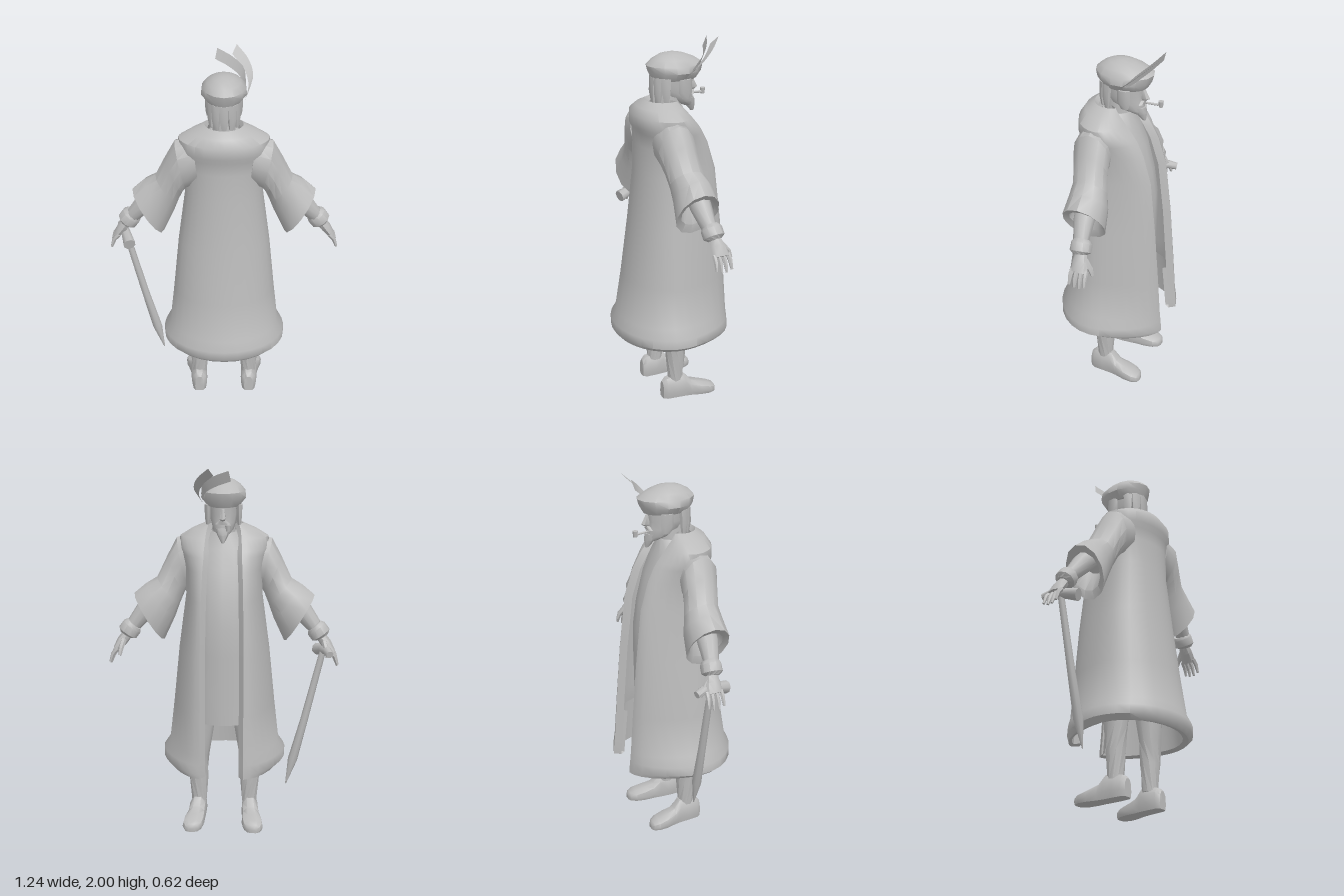
import * as THREE from 'three';
import { toCreasedNormals } from 'three/addons/utils/BufferGeometryUtils.js';

const grey = new THREE.MeshStandardMaterial({ color: 0xbbbbbb, side: THREE.DoubleSide });
grey.name = 'plain grey';
const V = (x, y, z) => new THREE.Vector3(x, y, z);

// Skin between cross-sections; closed rings loop round, caps fan to the ring centre
function loft(rings, { closed = true, caps = true, crease = 0.8 } = {}) {
  const n = rings[0].length, pos = [], idx = [];
  rings.forEach(r => r.forEach(p => pos.push(p.x, p.y, p.z)));
  const m = closed ? n : n - 1;
  for (let i = 0; i < rings.length - 1; i++) for (let j = 0; j < m; j++) {
    const a = i * n + j, b = i * n + (j + 1) % n;
    idx.push(a, b, a + n, b, b + n, a + n);
  }
  if (closed && caps) [0, rings.length - 1].forEach(k => {
    const c = rings[k].reduce((s, p) => s.add(p), V(0, 0, 0)).divideScalar(n);
    const ci = pos.length / 3;
    pos.push(c.x, c.y, c.z);
    for (let j = 0; j < n; j++) {
      const a = k * n + j, b = k * n + (j + 1) % n;
      k ? idx.push(a, b, ci) : idx.push(b, a, ci);
    }
  });
  const g = new THREE.BufferGeometry();
  g.setAttribute('position', new THREE.Float32BufferAttribute(pos, 3));
  g.setIndex(idx);
  return toCreasedNormals(g, crease);
}

const ring = (c, u, v, n) => Array.from({ length: n }, (_, i) => {
  const a = i / n * Math.PI * 2;
  return c.clone().addScaledVector(u, Math.cos(a)).addScaledVector(v, Math.sin(a));
});

// Horizontal oval rows: [y, half width, front z, back z]
const stack = (rows, n = 14, x = 0) => loft(rows.map(([y, w, f, b]) =>
  ring(V(x, y, (f + b) / 2), V(0, 0, (b - f) / 2), V(w, 0, 0), n)));

// Round limb through [x, y, z, radius] points
function limb(pts, n = 8) {
  const p = pts.map(a => V(a[0], a[1], a[2]));
  return loft(p.map((c, i) => {
    const d = p[Math.min(i + 1, p.length - 1)].clone().sub(p[Math.max(i - 1, 0)]).normalize();
    const q = new THREE.Quaternion().setFromUnitVectors(V(0, 1, 0), d), r = pts[i][3];
    return ring(c, V(0, 0, r).applyQuaternion(q), V(r, 0, 0).applyQuaternion(q), n);
  }));
}

// Open coat section, from one front edge round the back to the other
function coatRing([y, w, f, b, e]) {
  const half = [V(e, y, f + 0.035)], zs = 0.03, k = 7;
  for (let i = 0; i <= k; i++) {
    const a = i / k * Math.PI / 2;
    half.push(V(e + 0.025 + (w - e - 0.025) * Math.sin(a) ** 1.2, y, zs + (f - zs) * Math.cos(a) ** 1.2));
  }
  for (let i = 1; i <= k; i++) {
    const a = i / k * Math.PI / 2;
    half.push(V(w * Math.cos(a), y, zs + (b - zs) * Math.sin(a)));
  }
  const other = half.slice(0, -1).reverse().map(p => V(-p.x, p.y, p.z));
  return [...half, ...other].reverse();
}

export function createModel() {
  const model = new THREE.Group();
  model.name = 'robedFigure';
  const add = (name, geo, parent = model) => {
    const m = new THREE.Mesh(geo, grey);
    m.name = name;
    parent.add(m);
    return m;
  };

  // Long open coat with lining, padded hem and rounded collar
  add('coat', loft([
    [0.62, 0.26, -0.265, 0.23, 0.095], [0.365, 0.275, -0.29, 0.26, 0.095],
    [0.355, 0.305, -0.31, 0.29, 0.09], [0.38, 0.335, -0.31, 0.31, 0.09],
    [0.43, 0.335, -0.305, 0.31, 0.09], [0.48, 0.3, -0.3, 0.285, 0.09],
    [0.7, 0.275, -0.285, 0.25, 0.09], [1.0, 0.245, -0.262, 0.21, 0.09],
    [1.3, 0.205, -0.23, 0.18, 0.085], [1.45, 0.212, -0.185, 0.175, 0.08],
    [1.52, 0.23, -0.15, 0.175, 0.075], [1.55, 0.24, -0.13, 0.19, 0.075],
    [1.61, 0.235, -0.08, 0.19, 0.07], [1.65, 0.17, -0.045, 0.165, 0.065],
    [1.68, 0.1, -0.02, 0.12, 0.055], [1.655, 0.085, -0.02, 0.1, 0.05],
  ].map(coatRing), { closed: false }));

  // Tunic under the coat
  add('tunic', stack([
    [0.62, 0.2, -0.21, 0.16], [0.8, 0.195, -0.21, 0.16], [1.0, 0.185, -0.215, 0.15],
    [1.15, 0.18, -0.215, 0.14], [1.3, 0.17, -0.195, 0.14], [1.45, 0.17, -0.155, 0.13],
    [1.56, 0.15, -0.11, 0.13], [1.64, 0.07, -0.08, 0.08],
  ], 16));

  // Head
  add('neck', stack([[1.6, 0.065, -0.08, 0.07], [1.74, 0.058, -0.07, 0.06]], 10));
  add('head', stack([
    [1.635, 0.025, -0.145, -0.09], [1.66, 0.052, -0.148, -0.02], [1.7, 0.066, -0.143, 0.05],
    [1.74, 0.074, -0.14, 0.075], [1.8, 0.078, -0.145, 0.08]], 12));
  add('nose', stack([[1.715, 0.012, -0.16, -0.12], [1.725, 0.018, -0.175, -0.12],
    [1.775, 0.009, -0.15, -0.12]], 6));
  add('beard', stack([[1.6, 0.008, -0.155, -0.135], [1.64, 0.03, -0.16, -0.1],
    [1.675, 0.04, -0.153, -0.09]], 8));
  add('moustache', stack([[1.695, 0.04, -0.15, -0.11], [1.715, 0.02, -0.155, -0.11]], 8));

  // Hair locks round the back of the head
  for (const a of [-1.1, -0.55, 0, 0.55, 1.1]) {
    const lock = add('hairLock', stack([[1.665, 0.014, -0.008, 0.008],
      [1.72, 0.024, -0.014, 0.018], [1.8, 0.028, -0.02, 0.016]], 6));
    lock.position.set(Math.sin(a) * 0.075, 0, Math.cos(a) * 0.085 - 0.005);
    lock.rotation.y = a;
  }

  // Cap
  add('cap', stack([
    [1.783, 0.085, -0.16, 0.085], [1.825, 0.119, -0.185, 0.105], [1.86, 0.114, -0.195, 0.115],
    [1.89, 0.088, -0.15, 0.085], [1.912, 0.055, -0.095, 0.045], [1.922, 0.02, -0.05, 0]], 14));

  // Two curved feathers on the cap
  const feather = (name, path, w) => add(name, loft(
    new THREE.CatmullRomCurve3(path).getPoints(8).map((p, i) => {
      const v = w.clone().multiplyScalar(i < 2 ? 0.6 + i * 0.2 : 1);
      return [p.clone().sub(v), p.clone().add(v)];
    }), { closed: false }));
  feather('longFeather', [V(0.115, 1.8, -0.04), V(0.138, 1.86, -0.11),
    V(0.115, 1.92, -0.18), V(0.055, 1.975, -0.245)], V(0.012, 0.02, -0.018));
  feather('shortFeather', [V(0.11, 1.83, -0.09), V(0.095, 1.885, -0.15),
    V(0.035, 1.925, -0.2), V(-0.04, 1.955, -0.235)], V(0.006, 0.027, -0.008));

  // Pipe
  add('pipeStem', limb([[-0.015, 1.69, -0.13, 0.006], [-0.03, 1.685, -0.22, 0.007]], 6));
  add('pipeBowl', new THREE.CylinderGeometry(0.015, 0.011, 0.032, 8)).position.set(-0.032, 1.69, -0.222);

  // Mirrored parts
  for (const s of [1, -1]) {
    const side = new THREE.Group();
    side.name = s > 0 ? 'leftSide' : 'rightSide';
    side.scale.x = s;
    model.add(side);

    add('sideHair', stack([[1.685, 0.008, -0.09, -0.05], [1.72, 0.016, -0.1, -0.03],
      [1.79, 0.018, -0.1, -0.03]], 6, 0.082), side);

    // Sleeve: [top x, top y, bottom x, bottom y, half depth, centre z], turned in at the cuff
    add('sleeve', loft([
      [0.16, 1.62, 0.13, 1.36, 0.1, 0.05], [0.255, 1.595, 0.195, 1.33, 0.1, 0.05],
      [0.305, 1.5, 0.215, 1.3, 0.095, 0.04], [0.36, 1.385, 0.24, 1.24, 0.095, 0.025],
      [0.42, 1.35, 0.265, 1.17, 0.105, 0.015], [0.485, 1.295, 0.325, 1.04, 0.115, 0.015],
      [0.455, 1.265, 0.335, 1.09, 0.09, 0.01], [0.38, 1.31, 0.29, 1.21, 0.06, 0.01],
    ].map(([tx, ty, bx, by, h, z]) => ring(V((tx + bx) / 2, (ty + by) / 2, z),
      V(0, 0, h), V((tx - bx) / 2, (ty - by) / 2, 0), 12)), { crease: 0.6 }), side);

    add('forearm', limb([[0.33, 1.31, 0.01, 0.06], [0.42, 1.21, 0.005, 0.055],
      [0.51, 1.1, -0.01, 0.036]], 10), side);
    add('wristCuff', limb([[0.485, 1.13, -0.015, 0.045], [0.497, 1.117, -0.016, 0.056],
      [0.522, 1.083, -0.018, 0.056], [0.53, 1.07, -0.02, 0.036]], 10), side);

    // Hand: flat palm, four fingers and a thumb
    add('palm', loft([[0.52, 1.08, 0.03, 0.022], [0.55, 1.04, 0.042, 0.024], [0.582, 0.995, 0.046, 0.016]]
      .map(([x, y, h, t], i) => ring(V(x, y, -0.022 - i * 0.006), V(0, 0, h), V(t, t * 0.7, 0), 8))), side);
    for (let i = 0; i < 4; i++) {
      const z = 0.005 - i * 0.025, t = 0.008 - i * 0.028, d = i % 3 ? 0 : 0.012;
      add('finger', limb([[0.572, 1.005, z, 0.013], [0.597, 0.965 + d, (z + t) / 2, 0.012],
        [0.612, 0.92 + d, t, 0.007]], 6), side);
    }
    add('thumb', limb([[0.54, 1.05, -0.05, 0.016], [0.552, 1.01, -0.085, 0.014],
      [0.556, 0.975, -0.098, 0.008]], 6), side);

    add('leg', limb([[0.1, 0.9, 0.01, 0.09], [0.13, 0.6, 0.01, 0.082], [0.145, 0.38, 0.017, 0.062],
      [0.142, 0.25, 0.016, 0.054], [0.14, 0.1, 0.016, 0.042]], 10), side);

    // Shoe rows: [z, half width, height, centre x]
    add('shoe', loft([
      [0.096, 0.026, 0.095, 0.142], [0.075, 0.042, 0.115, 0.142], [0.02, 0.046, 0.125, 0.144],
      [-0.03, 0.047, 0.13, 0.147], [-0.065, 0.048, 0.088, 0.152], [-0.12, 0.057, 0.07, 0.16],
      [-0.17, 0.055, 0.055, 0.167], [-0.2, 0.038, 0.042, 0.17], [-0.21, 0.018, 0.03, 0.17],
    ].map(([z, w, h, x]) => [[-0.85, 0], [0.85, 0], [1, 0.3], [0.9, 0.75], [0.4, 1], [-0.4, 1], [-0.9, 0.75], [-1, 0.3]]
      .map(([a, b]) => V(x + a * w, b * h, z)))), side);
  }

  // Walking stick with cross handle and pointed tip
  add('stickShaft', limb([[-0.535, 1.0, -0.03, 0.017], [-0.44, 0.6, -0.03, 0.021],
    [-0.381, 0.37, -0.03, 0.026], [-0.345, 0.225, -0.03, 0.003]], 8));
  add('stickHandle', limb([[-0.568, 1.0, -0.125, 0.02], [-0.555, 1.01, -0.08, 0.024],
    [-0.535, 1.005, -0.02, 0.026], [-0.51, 0.98, 0.068, 0.034]], 8));
  return model;
}
